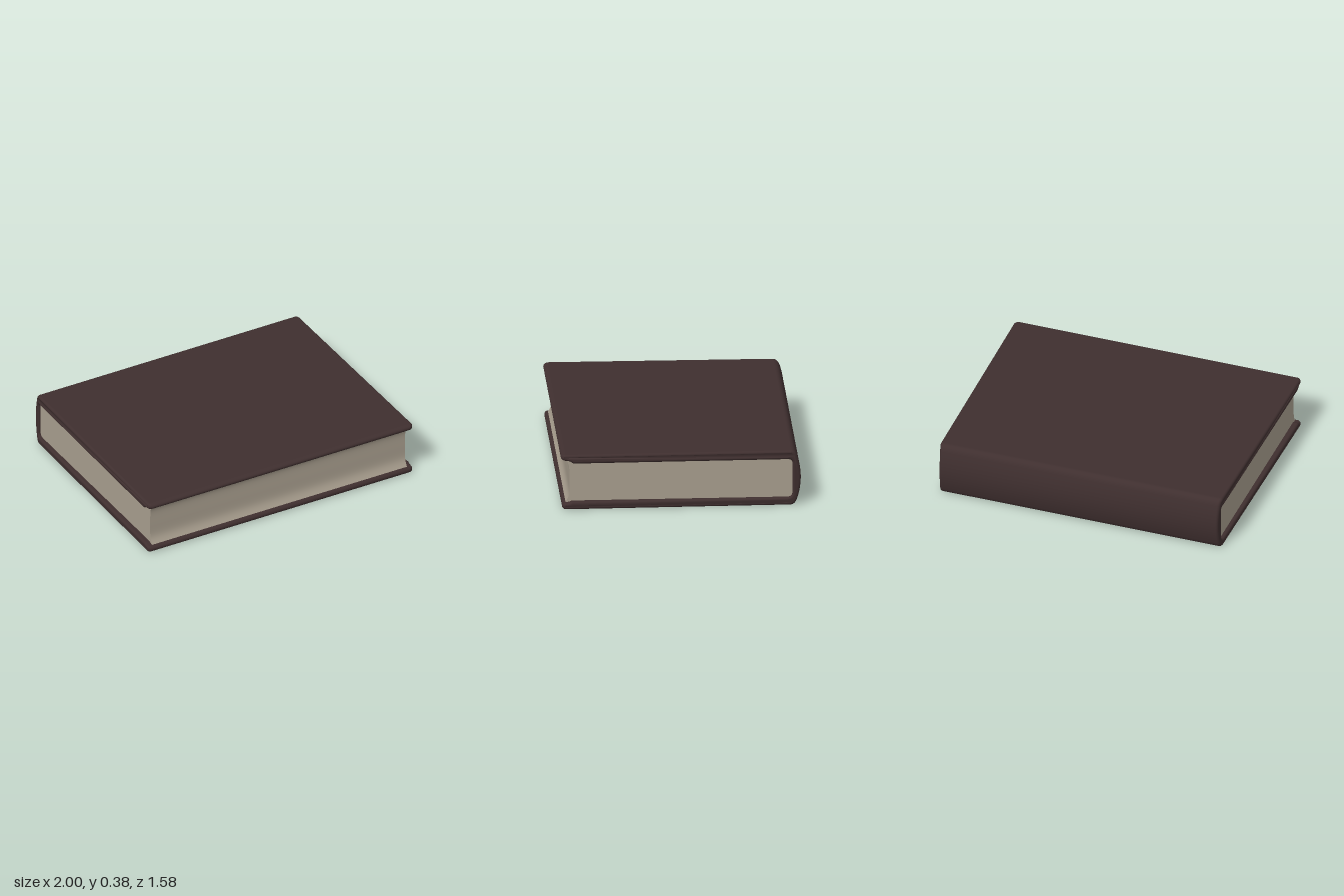
import * as THREE from 'three';
import { mergeVertices, toCreasedNormals } from 'three/addons/utils/BufferGeometryUtils.js';

// Extrudes a (z, y) profile symmetrically along x
function extrudeAlongX(shape, halfLength, bevel) {
  const geometry = new THREE.ExtrudeGeometry(shape, {
    depth: 2 * (halfLength - bevel), curveSegments: 12,
    bevelEnabled: bevel > 0, bevelThickness: bevel, bevelSize: bevel,
    bevelOffset: -bevel, bevelSegments: 5,
  });
  geometry.translate(0, 0, -(halfLength - bevel));
  geometry.rotateY(-Math.PI / 2);
  return geometry;
}

export function createModel() {
  const leather = new THREE.MeshStandardMaterial({ name: 'dark brown leather', color: 0x3f2f2f });
  const paper = new THREE.MeshStandardMaterial({ name: 'aged paper', color: 0xa89e8e });
  const book = new THREE.Group();
  book.name = 'book';

  // Binding: both boards and the rounded spine as one C-shaped profile
  const profile = new THREE.Shape();
  profile.moveTo(0.76, 0);
  profile.bezierCurveTo(0.793, 0, 0.793, 0.042, 0.76, 0.042);
  profile.quadraticCurveTo(0.74, 0.042, 0.72, 0.052);
  profile.lineTo(-0.70, 0.052);
  profile.quadraticCurveTo(-0.735, 0.052, -0.735, 0.085);
  profile.lineTo(-0.735, 0.285);
  profile.quadraticCurveTo(-0.735, 0.315, -0.70, 0.315);
  profile.lineTo(0.71, 0.315);
  profile.quadraticCurveTo(0.735, 0.335, 0.76, 0.335);
  profile.bezierCurveTo(0.803, 0.335, 0.803, 0.375, 0.76, 0.375);
  profile.lineTo(-0.72, 0.375);
  profile.quadraticCurveTo(-0.755, 0.375, -0.768, 0.33);
  profile.quadraticCurveTo(-0.813, 0.187, -0.768, 0.045);
  profile.quadraticCurveTo(-0.755, 0, -0.72, 0);
  profile.closePath();

  let cover = extrudeAlongX(profile, 1, 0.016);
  cover.deleteAttribute('normal');
  cover.deleteAttribute('uv');
  cover = mergeVertices(cover, 1e-4);

  // Draw the ends in at the spine and round the fore-edge corners
  const position = cover.attributes.position;
  for (let i = 0; i < position.count; i++) {
    const x = position.getX(i), z = position.getZ(i);
    const spine = THREE.MathUtils.smoothstep(-z, 0.68, 0.80);
    const front = THREE.MathUtils.clamp((z - 0.755) / 0.035, 0, 1);
    position.setX(i, x * (1 - 0.01 * (z < 0 ? 1 : 0) - 0.018 * spine - 0.02 * front * front));
  }
  cover.computeVertexNormals();
  const coverMesh = new THREE.Mesh(cover, leather);
  coverMesh.name = 'cover';
  book.add(coverMesh);

  // Page block with a hollow fore-edge
  const block = new THREE.Shape();
  block.moveTo(-0.75, 0.035);
  block.lineTo(0.765, 0.035);
  block.bezierCurveTo(0.733, 0.085, 0.733, 0.10, 0.735, 0.187);
  block.bezierCurveTo(0.735, 0.28, 0.733, 0.30, 0.76, 0.34);
  block.lineTo(-0.75, 0.34);
  block.closePath();
  const pages = new THREE.Mesh(toCreasedNormals(extrudeAlongX(block, 0.962, 0), 0.6), paper);
  pages.name = 'pages';
  book.add(pages);

  return book;
}
